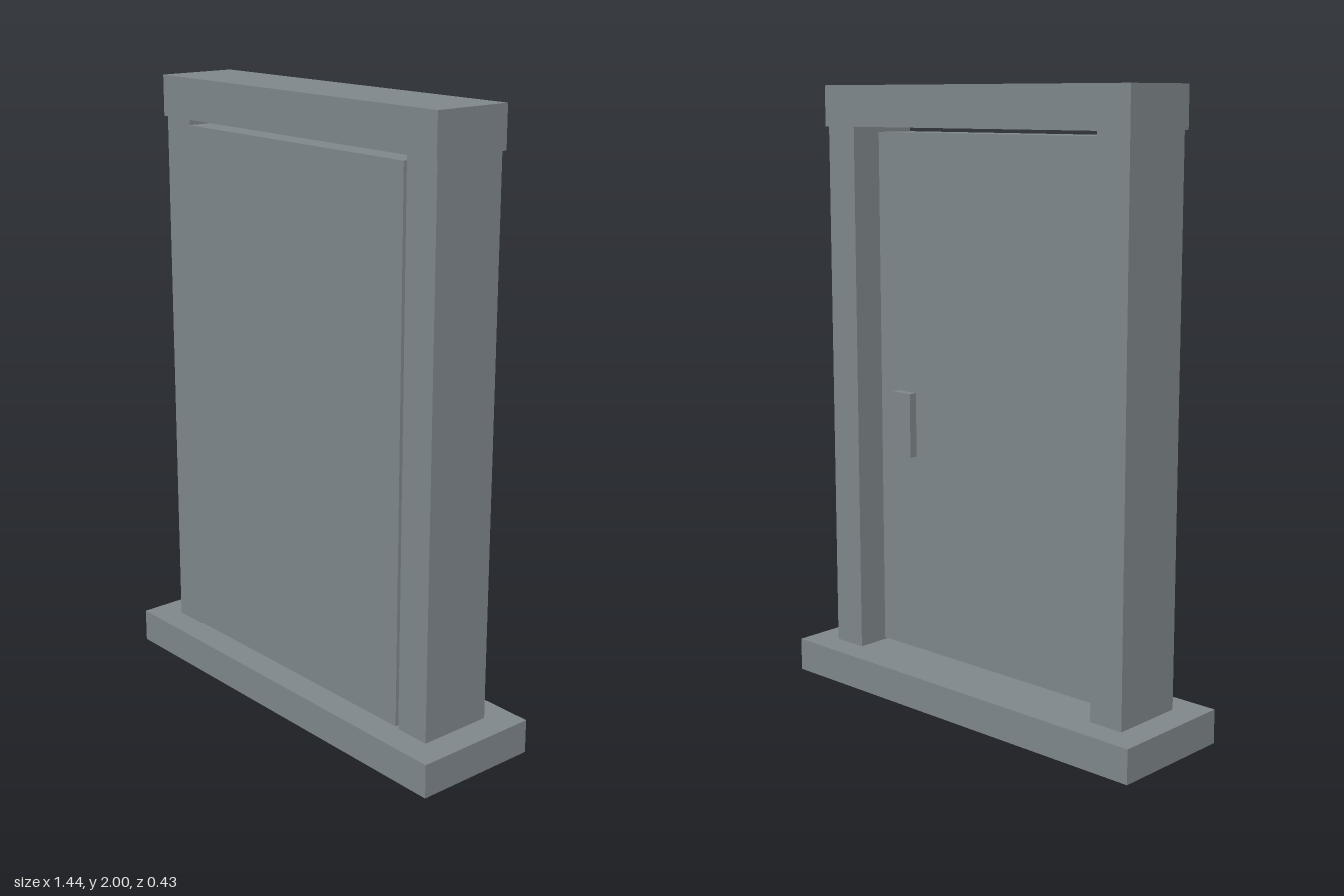
import * as THREE from 'three';

export function createModel() {
  const group = new THREE.Group();
  const stone = new THREE.MeshStandardMaterial({ color: 0x7f878b });
  stone.name = 'greyStone';

  // Box given by its extents along each axis
  function block(name, [x0, x1], [y0, y1], [z0, z1]) {
    const mesh = new THREE.Mesh(new THREE.BoxGeometry(x1 - x0, y1 - y0, z1 - z0), stone);
    mesh.position.set((x0 + x1) / 2, (y0 + y1) / 2, (z0 + z1) / 2);
    mesh.name = name;
    group.add(mesh);
  }

  // Frame: threshold, two posts and the lintel
  block('threshold', [-0.722, 0.722], [0, 0.11], [-0.215, 0.215]);
  block('leftPost', [0.508, 0.628], [0.11, 1.87], [-0.126, 0.126]);
  block('rightPost', [-0.628, -0.508], [0.11, 1.87], [-0.126, 0.126]);
  block('lintel', [-0.635, 0.635], [1.868, 2], [-0.135, 0.135]);

  // Door leaf, proud of the frame at the front and recessed at the back
  block('door', [-0.502, 0.502], [0.119, 1.85], [-0.022, 0.132]);

  // Handle on the recessed back face
  block('handle', [0.338, 0.42], [0.785, 1.0], [-0.05, -0.02]);

  return group;
}
